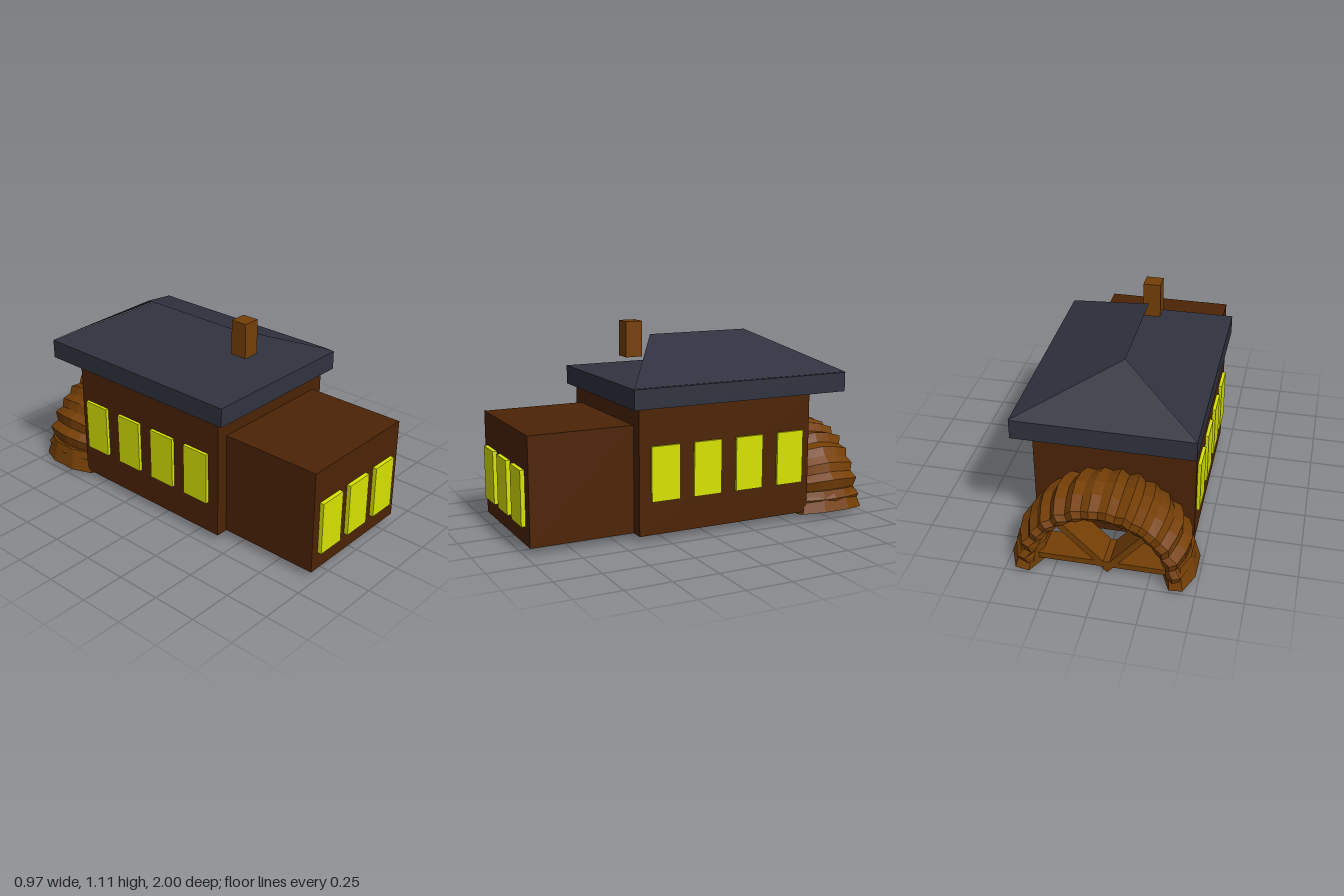
import * as THREE from 'three';

const paint = (color, side = THREE.FrontSide) =>
  new THREE.MeshStandardMaterial({ color, side, flatShading: true });

export function createModel() {
  const house = new THREE.Group();
  house.name = 'millHouse';
  const wall = paint(0x4d2406), glass = paint(0xd8e400);
  const slate = paint(0x30333f, THREE.DoubleSide);
  const wood = paint(0x753f06, THREE.DoubleSide);

  const add = (name, geometry, material, parent = house) => {
    const mesh = new THREE.Mesh(geometry, material);
    mesh.name = name;
    parent.add(mesh);
    return mesh;
  };
  // Box given by its minimum and maximum corners
  const block = (name, material, [x0, y0, z0], [x1, y1, z1], parent) => {
    const g = new THREE.BoxGeometry(x1 - x0, y1 - y0, z1 - z0);
    g.translate((x0 + x1) / 2, (y0 + y1) / 2, (z0 + z1) / 2);
    return add(name, g, material, parent);
  };
  const surface = (points, index) => {
    const g = new THREE.BufferGeometry();
    g.setAttribute('position', new THREE.Float32BufferAttribute(points, 3));
    g.setIndex(index);
    g.computeVertexNormals();
    return g;
  };

  // Walls
  block('mainHall', wall, [-0.435, 0.04, -0.63], [0.43, 0.72, 0.405]);
  block('frontWing', wall, [-0.367, 0.042, 0.4], [0.36, 0.62, 0.977]);

  // Windows
  for (const x of [-0.32, -0.093, 0.137])
    block('frontWindow', glass, [x, 0.14, 0.97], [x + 0.163, 0.435, 1]);
  for (const z of [0.175, -0.073, -0.327, -0.585]) {
    block('rightWindow', glass, [-0.453, 0.22, z], [-0.43, 0.515, z + 0.163]);
    block('leftWindow', glass, [0.42, 0.22, z], [0.442, 0.515, z + 0.163]);
  }

  // Thick eaves slab carrying two roof slopes (left and back); the other two sides are open
  block('eaves', slate, [-0.462, 0.72, -0.83], [0.48, 0.826, 0.452]);
  add('roofSlopes', surface([
    0.48, 0.829, 0.452, 0.48, 0.829, -0.83, -0.462, 0.829, -0.83, // eave corners
    -0.035, 1.034, -0.48, -0.035, 1.034, 0.12, // ridge
  ], [0, 1, 3, 0, 3, 4, 1, 2, 3]), slate);

  // Chimney
  block('chimney', wood, [-0.086, 0.92, 0.19], [0.01, 1.115, 0.285]);

  // Half-sunk mill wheel behind the hall
  const wheel = new THREE.Group();
  wheel.name = 'millWheel';
  wheel.position.set(0, 0.03, -0.8);
  house.add(wheel);

  // Rim: a bulging cross-section (radius, z) swept over a half turn, notched between staves
  const section = [
    [0.35, -0.17], [0.39, -0.195], [0.43, -0.185], [0.465, -0.09], [0.48, 0],
    [0.465, 0.09], [0.43, 0.18], [0.39, 0.195], [0.35, 0.17], [0.37, 0],
  ];
  const staves = 14, steps = staves * 2, n = section.length;
  const verts = [], index = [];
  for (let i = 0; i <= steps; i++) {
    const a = 0.05 + (Math.PI - 0.1) * i / steps;
    const notch = (i % 2 ? 1 : 0.955) + 0.012 * Math.sin(i * 2.3);
    for (const [r, z] of section) {
      const rr = Math.min(0.483, r > 0.38 ? r * notch : r);
      const zz = THREE.MathUtils.clamp(z * (i % 2 ? 1.03 : 0.95), -0.2, 0.2);
      verts.push(rr * Math.cos(a), rr * Math.sin(a), zz);
    }
    if (i === steps) break;
    for (let j = 0; j < n; j++) {
      const k = (j + 1) % n, b = i * n;
      index.push(b + j, b + k, b + n + j, b + k, b + n + k, b + n + j);
    }
  }
  add('wheelRim', surface(verts, index), wood, wheel);

  // Feet closing the rim's ends, dipping towards the middle
  for (const s of [-1, 1]) {
    const foot = new THREE.CylinderGeometry(0.075, 0.093, 0.12, 8);
    foot.rotateY(Math.PI / 8);
    foot.scale(1, 1, 2.3);
    const mesh = add('rimFoot', foot, wood, wheel);
    mesh.position.set(s * 0.393, 0.048, 0);
    mesh.rotation.z = s > 0 ? 0.2 : -0.1;
  }

  // Cross beam and slanted spokes
  block('crossBeam', wood, [-0.37, 0.012, -0.12], [0.37, 0.045, 0.06], wheel);
  for (const deg of [45, 130]) {
    const g = new THREE.BoxGeometry(0.37, 0.035, 0.18);
    g.translate(0.185, 0.02, -0.03);
    add('spoke', g, wood, wheel).rotation.z = THREE.MathUtils.degToRad(deg);
  }
  return house;
}
